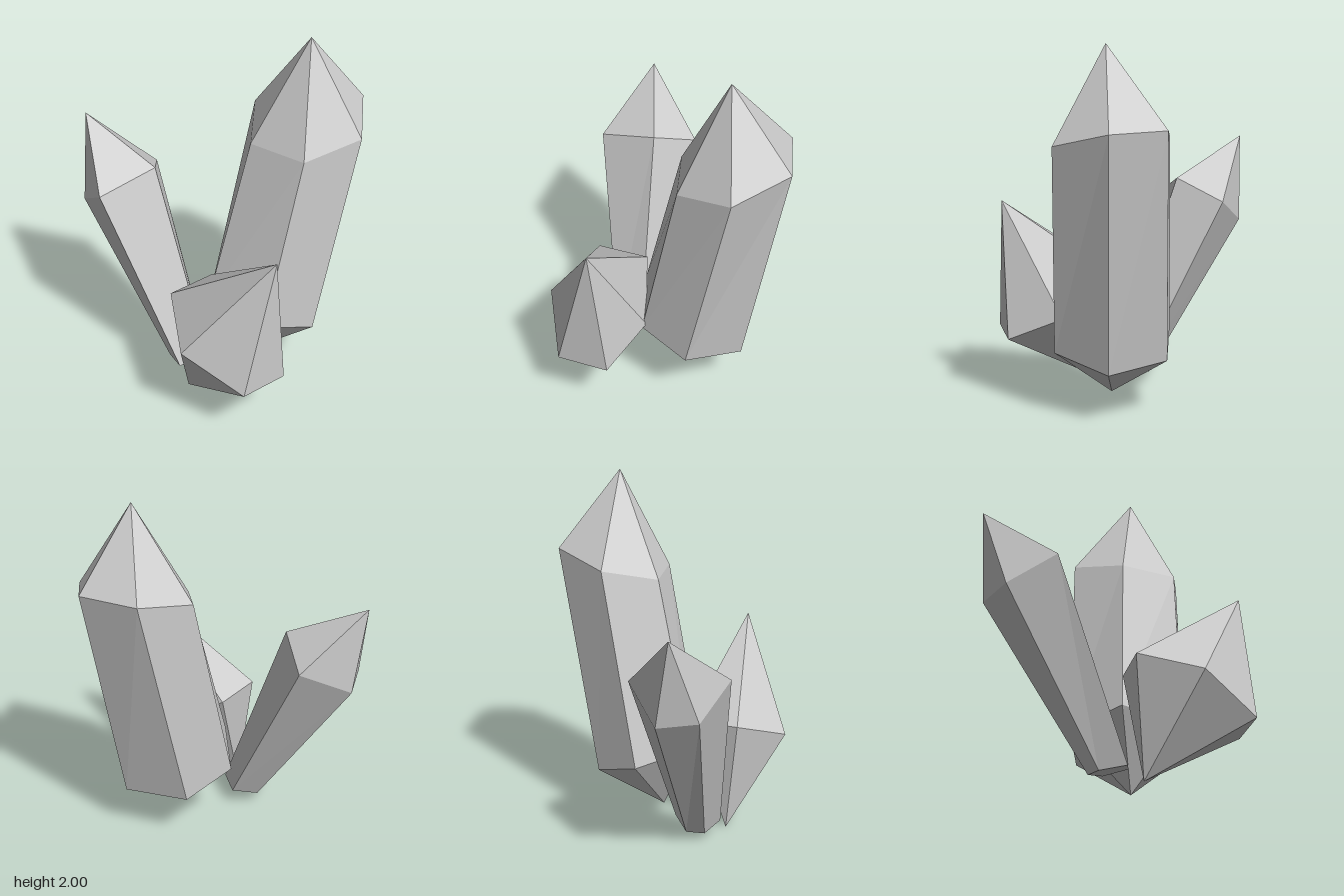
import * as THREE from 'three';

const material = new THREE.MeshStandardMaterial({ color: 0xcccccc, flatShading: true });

// A faceted crystal: foot point, rings of corners going up (counter-clockwise from above), tip.
function crystal(name, foot, rings, tip) {
  const positions = [];
  const tri = (a, b, c) => positions.push(...a, ...b, ...c);
  const n = rings[0].length;
  const top = rings[rings.length - 1];
  for (let i = 0; i < n; i++) {
    const j = (i + 1) % n;
    tri(foot, rings[0][j], rings[0][i]);
    for (let r = 0; r + 1 < rings.length; r++) {
      const lower = rings[r], upper = rings[r + 1];
      tri(lower[i], lower[j], upper[j]);
      tri(lower[i], upper[j], upper[i]);
    }
    tri(top[i], top[j], tip);
  }
  const geometry = new THREE.BufferGeometry();
  geometry.setAttribute('position', new THREE.Float32BufferAttribute(positions, 3));
  geometry.computeVertexNormals();
  const mesh = new THREE.Mesh(geometry, material);
  mesh.name = name;
  return mesh;
}

// Middle of a ring, for a flat cut end
const middle = (ring) => [0, 1, 2].map((k) => ring.reduce((s, p) => s + p[k], 0) / ring.length);

export function createModel() {
  const group = new THREE.Group();
  group.name = 'crystalCluster';

  // Tall six-sided crystal, pointed at both ends
  group.add(crystal('tallCrystal', [0.2, 0.06, -0.02], [
    [[0.57, 0.36, -0.16], [0.36, 0.29, -0.43], [0, 0.31, -0.35],
      [-0.12, 0.41, -0.08], [0.09, 0.48, 0.18], [0.45, 0.44, 0.11]],
    [[0.64, 1.5, -0.4], [0.43, 1.58, -0.66], [0.1, 1.58, -0.61],
      [-0.03, 1.51, -0.305], [0.18, 1.43, -0.05], [0.51, 1.43, -0.1]],
  ], [0.33, 2, -0.33]));

  // Leaning five-sided crystal, widening upwards from a flat cut
  const cut = [[0.11, 0.12, 0.21], [0, 0.1, 0.12], [-0.11, 0.065, 0.22],
    [-0.085, 0.06, 0.32], [0.05, 0.085, 0.37]];
  group.add(crystal('leaningCrystal', middle(cut), [
    cut,
    [[-0.28, 1.2, 0.215], [-0.48, 1.08, 0.02], [-0.685, 0.93, 0.24],
      [-0.615, 0.955, 0.45], [-0.37, 1.115, 0.54]],
  ], [-0.72, 1.41, 0.32]));

  // Short double pyramid at the front
  group.add(crystal('shortCrystal', [0.13, 0.005, 0.38], [
    [[0.72, 0.34, 0.24], [0.45, 0.47, 0.085], [0.1, 0.65, 0.165],
      [0.075, 0.66, 0.45], [0.365, 0.53, 0.655], [0.695, 0.355, 0.52]],
  ], [0.72, 1.115, 0.32]));

  return group;
}
